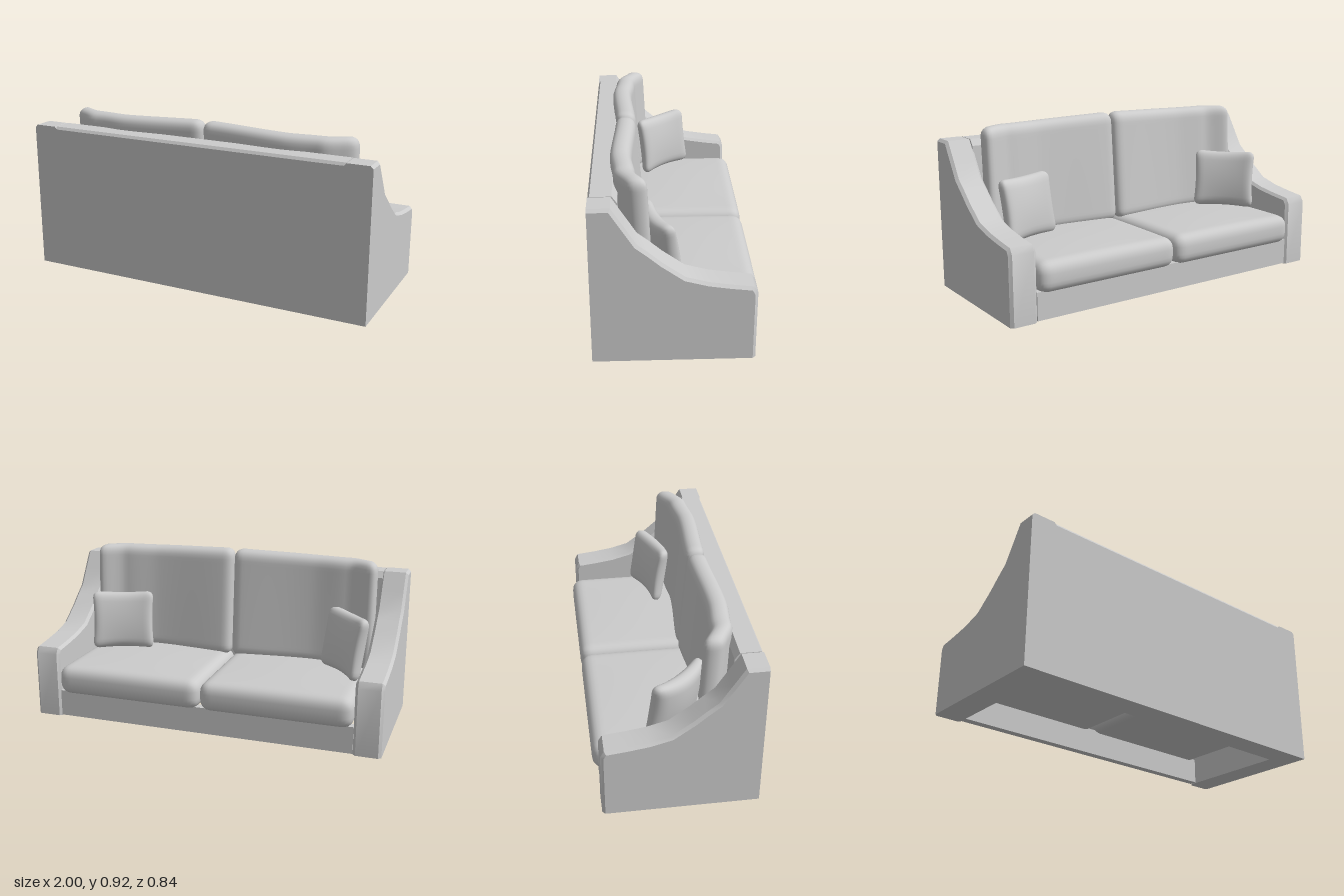
import * as THREE from 'three';
import { mergeVertices, toCreasedNormals } from 'three/addons/utils/BufferGeometryUtils.js';

const material = new THREE.MeshStandardMaterial({ color: 0xcccccc });

function addMesh(parent, name, geometry) {
  const mesh = new THREE.Mesh(geometry, material);
  mesh.name = name;
  parent.add(mesh);
  return mesh;
}

// Move every vertex of a geometry by a rule
function deform(geometry, rule) {
  const pos = geometry.attributes.position;
  const p = new THREE.Vector3();
  for (let i = 0; i < pos.count; i++) {
    rule(p.fromBufferAttribute(pos, i));
    pos.setXYZ(i, p.x, p.y, p.z);
  }
  return geometry;
}

// Soft box with rounded edges, finely divided so that it can be bent
function cushion(w, h, d, r, rule) {
  const seg = (s) => Math.max(6, Math.round(s / 0.02));
  let geometry = new THREE.BoxGeometry(w, h, d, seg(w), seg(h), seg(d));
  geometry.deleteAttribute('uv');
  geometry.deleteAttribute('normal');
  geometry = mergeVertices(geometry);
  const limit = new THREE.Vector3(w / 2 - r, h / 2 - r, d / 2 - r);
  const low = limit.clone().negate();
  const core = new THREE.Vector3();
  deform(geometry, (p) => {
    core.copy(p).clamp(low, limit);
    p.sub(core).setLength(r).add(core);
    rule(p);
  });
  geometry.computeVertexNormals();
  return geometry;
}

// Piecewise linear lookup with eased steps
function lookup(table, x) {
  for (let i = 1; i < table.length; i++) {
    const [x0, y0] = table[i - 1], [x1, y1] = table[i];
    if (x <= x1 || i === table.length - 1) {
      return y0 + (y1 - y0) * THREE.MathUtils.smoothstep(x, x0, x1);
    }
  }
}

// Extrude a (z, y) outline along x, centred on x = 0
function extrudeAlongX(points, width, bevel) {
  const shape = new THREE.Shape(points.map(([z, y]) => new THREE.Vector2(z, y)));
  const geometry = new THREE.ExtrudeGeometry(shape, {
    depth: width - 2 * bevel, bevelEnabled: bevel > 0, bevelSegments: 1,
    bevelSize: bevel, bevelThickness: bevel, bevelOffset: -bevel,
  });
  geometry.translate(0, 0, -(width - 2 * bevel) / 2);
  return geometry.rotateY(-Math.PI / 2);
}

export function createModel() {
  const sofa = new THREE.Group();
  sofa.name = 'sofa';

  // Sloping arms, square along the floor and the rear
  const armOutline = [
    [0.42, 0], [0.42, 0.835], [0.31, 0.835], [0.25, 0.74], [0.19, 0.645],
    [0.13, 0.597], [0.07, 0.545], [-0.04, 0.465], [-0.15, 0.435],
    [-0.26, 0.418], [-0.37, 0.405], [-0.39, 0.37], [-0.39, 0],
  ].reverse();
  for (const side of [-1, 1]) {
    const arm = deform(extrudeAlongX(armOutline, 0.15, 0.015), (p) => {
      if (p.y < 0.02) p.y = 0;
      if (p.z > 0.4) p.z = 0.42;
    });
    addMesh(sofa, side > 0 ? 'leftArm' : 'rightArm', toCreasedNormals(arm, 0.6))
      .position.x = side * 0.925;
  }

  // Back panel
  const backOutline = [[0.28, 0], [0.42, 0], [0.42, 0.82], [0.41, 0.835], [0.305, 0.835], [0.28, 0.8]];
  addMesh(sofa, 'backPanel', extrudeAlongX(backOutline, 1.72, 0));

  // Front panel under the seat; the base stays open below
  addMesh(sofa, 'frontPanel', new THREE.BoxGeometry(1.7, 0.15, 0.045))
    .position.set(0, 0.08, -0.36);

  // Seat and back cushions, one pair on each side
  const backCurve = [[0, 0.245], [0.47, 0.268], [0.68, 0.25], [0.845, 0.185]];
  for (const side of [-1, 1]) {
    const label = side > 0 ? 'left' : 'right';
    const seat = cushion(0.847, 0.165, 0.7, 0.06, (p) => {
      // flatter underside, gentle crown on top
      const crown = (1 - (p.x / 0.43) ** 2) * (1 - (p.z / 0.36) ** 2);
      if (p.y > 0) p.y += 0.012 * crown;
    });
    addMesh(sofa, label + 'SeatCushion', seat).position.set(side * 0.4245, 0.225, -0.07);

    const back = cushion(0.847, 0.62, 0.11, 0.05, (p) => {
      const t = p.y / 0.62 + 0.5;
      const outward = p.x * side + 0.4245;
      p.z += lookup(backCurve, outward) - 0.05 * (1 - t) * (1 - 0.5 * outward);
      p.y += 0.015 * t * Math.max(0, 1 - outward / 0.5);
    });
    addMesh(sofa, label + 'BackCushion', back).position.set(side * 0.4245, 0.6, 0);
  }

  // Throw pillows leaning in the corners
  const pillows = [
    ['rightPillow', [-0.725, 0.475, 0.035], -0.85],
    ['leftPillow', [0.66, 0.475, 0.085], 0.33],
  ];
  for (const [name, position, turn] of pillows) {
    const geometry = cushion(0.37, 0.35, 0.11, 0.045, (p) => {
      const u = p.x / 0.185, v = p.y / 0.175;
      p.z *= 0.55 + 0.45 * (1 - u * u * 0.7) * (1 - v * v * 0.7);
      p.z -= 0.03 * u * u;
      // sides pulled in between the corners
      p.x *= 0.94 + 0.06 * v * v;
      p.y *= 0.94 + 0.06 * u * u;
    });
    geometry.computeVertexNormals();
    const pillow = addMesh(sofa, name, geometry);
    pillow.position.set(...position);
    pillow.rotation.set(0.16, turn, 0, 'YXZ');
  }

  return sofa;
}
